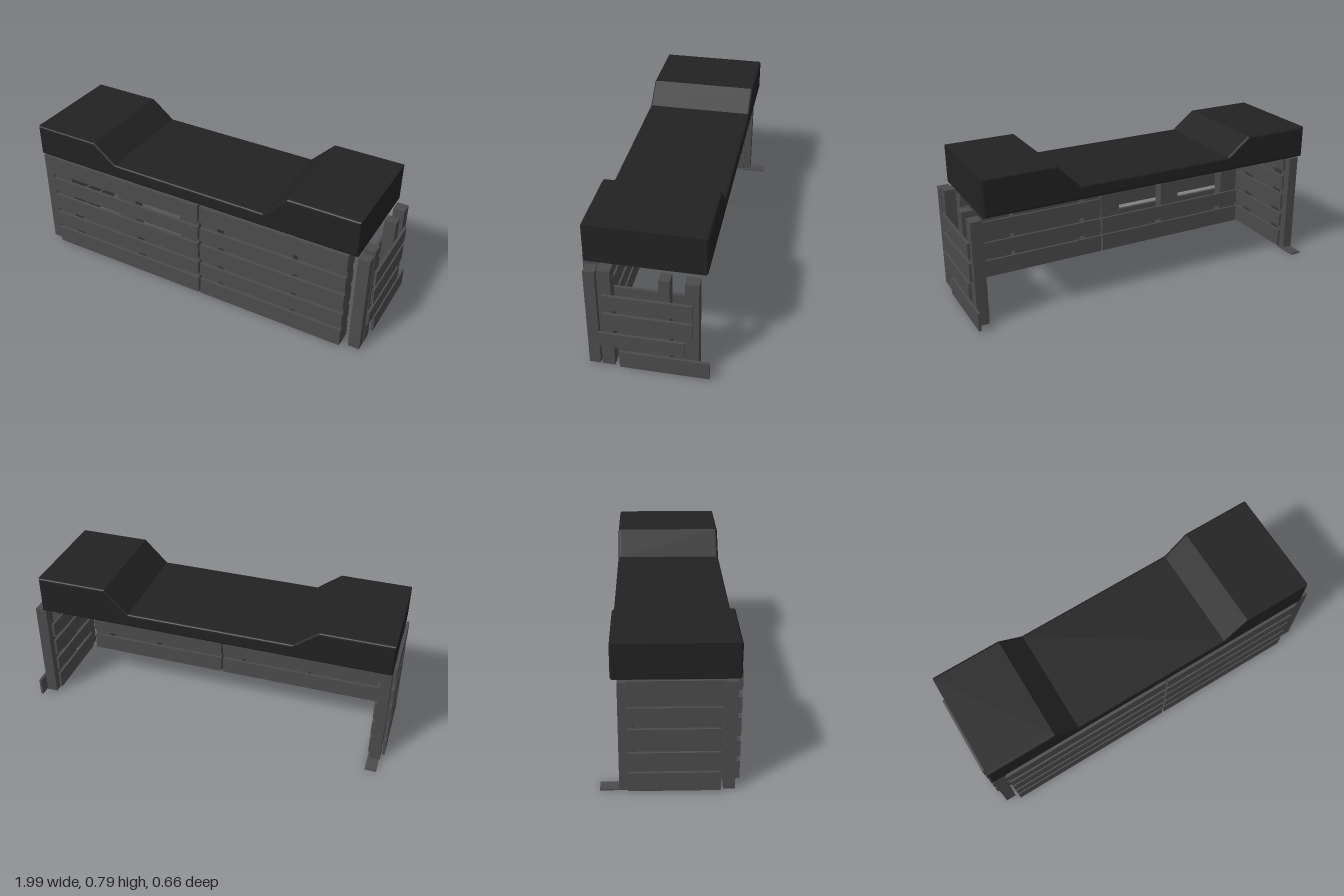
import * as THREE from 'three';

const slatGrey = new THREE.MeshStandardMaterial({ color: 0x4b4b4b });
slatGrey.name = 'slatGrey';
const topBlack = new THREE.MeshStandardMaterial({ color: 0x222222 });
topBlack.name = 'topBlack';

// Heights of the five slat rows, bottom to top
const ROWS = [[0.01, 0.108], [0.134, 0.216], [0.244, 0.34], [0.366, 0.45], [0.486, 0.586]];

// Box given by its limits on each axis
function board(parent, name, [x0, x1], [y0, y1], [z0, z1]) {
  const mesh = new THREE.Mesh(new THREE.BoxGeometry(x1 - x0, y1 - y0, z1 - z0), slatGrey);
  mesh.position.set((x0 + x1) / 2, (y0 + y1) / 2, (z0 + z1) / 2);
  mesh.name = name;
  parent.add(mesh);
  return mesh;
}

// Front pallet: slats on both faces with upright stringers between
function frontPallet(name, [x0, x1], posts, missingInner) {
  const g = new THREE.Group();
  g.name = name;
  ROWS.forEach((row, i) => {
    board(g, 'outerSlat', [x0, x1], row, [0.31, 0.328]);
    if (!missingInner.includes(i)) board(g, 'innerSlat', [x0, x1], row, [0.232, 0.246]);
  });
  posts.forEach(p => board(g, 'upright', p, [0.005, 0.583], [0.246, 0.31]));
  return g;
}

// Side pallet: s is +1 for the left end, -1 for the right end
function sidePallet(name, s, outerSpans, innerRows) {
  const g = new THREE.Group();
  g.name = name;
  const span = (a, b) => (s > 0 ? [a, b] : [-b, -a]);
  const shift = s > 0 ? 0 : -0.005;
  ROWS.forEach((row, i) => {
    if (outerSpans[i]) board(g, 'outerSlat', span(0.979, 0.993), row, outerSpans[i]);
    if (innerRows.includes(i)) board(g, 'innerSlat', span(0.905, 0.919), row, [-0.2, 0.235]);
  });
  [[[0.245, 0.3], 0.57], [[0.172, 0.235], 0.585], [[-0.105, -0.052], 0.57], [[-0.24, -0.175], 0.568]]
    .forEach(([z, top]) => board(g, 'upright', span(0.919, 0.979 + shift), [0.005, top], z));
  return g;
}

export function createModel() {
  const model = new THREE.Group();
  model.name = 'palletCounter';

  // Solid top with a raised block at each end and softened edges
  const b = 0.012;
  const shape = new THREE.Shape([
    [-0.975 + b, 0.585 + b], [0.92 - b, 0.585 + b], [0.92 - b, 0.787 - b], [0.545, 0.787 - b],
    [0.418, 0.66 - b], [-0.475, 0.66 - b], [-0.602, 0.759 - b], [-0.975 + b, 0.759 - b],
  ].map(([x, y]) => new THREE.Vector2(x, y)));
  const topGeo = new THREE.ExtrudeGeometry(shape, {
    depth: 0.585 - 2 * b, bevelEnabled: true, bevelThickness: b, bevelSize: b, bevelSegments: 3,
  });
  topGeo.translate(0, 0, -0.27 + b);
  const top = new THREE.Mesh(topGeo, topBlack);
  top.name = 'counterTop';
  model.add(top);

  // Two pallets along the front
  model.add(frontPallet('frontPalletRight', [-0.9, 0.048],
    [[-0.9, -0.785], [-0.47, -0.353], [-0.068, 0.048]], [2, 3]));
  model.add(frontPallet('frontPalletLeft', [0.06, 0.88],
    [[0.06, 0.16], [0.473, 0.59], [0.787, 0.88]], []));

  // End pallets; the left one has lost its top slat and its lowest has slipped back
  model.add(sidePallet('sidePalletLeft', 1,
    [[-0.295, 0.145], [-0.175, 0.245], [-0.21, 0.212], [-0.21, 0.212], null], [0, 1, 2, 3]));
  model.add(sidePallet('sidePalletRight', -1,
    [[-0.2, 0.23], [-0.2, 0.23], [-0.2, 0.23], [-0.2, 0.23], [-0.2, 0.235]], [0, 1, 2, 3, 4]));

  // Loose plank lying on the floor at the right rear
  board(model, 'loosePlank', [-0.97, -0.91], [0, 0.008], [-0.33, -0.2]);
  return model;
}
